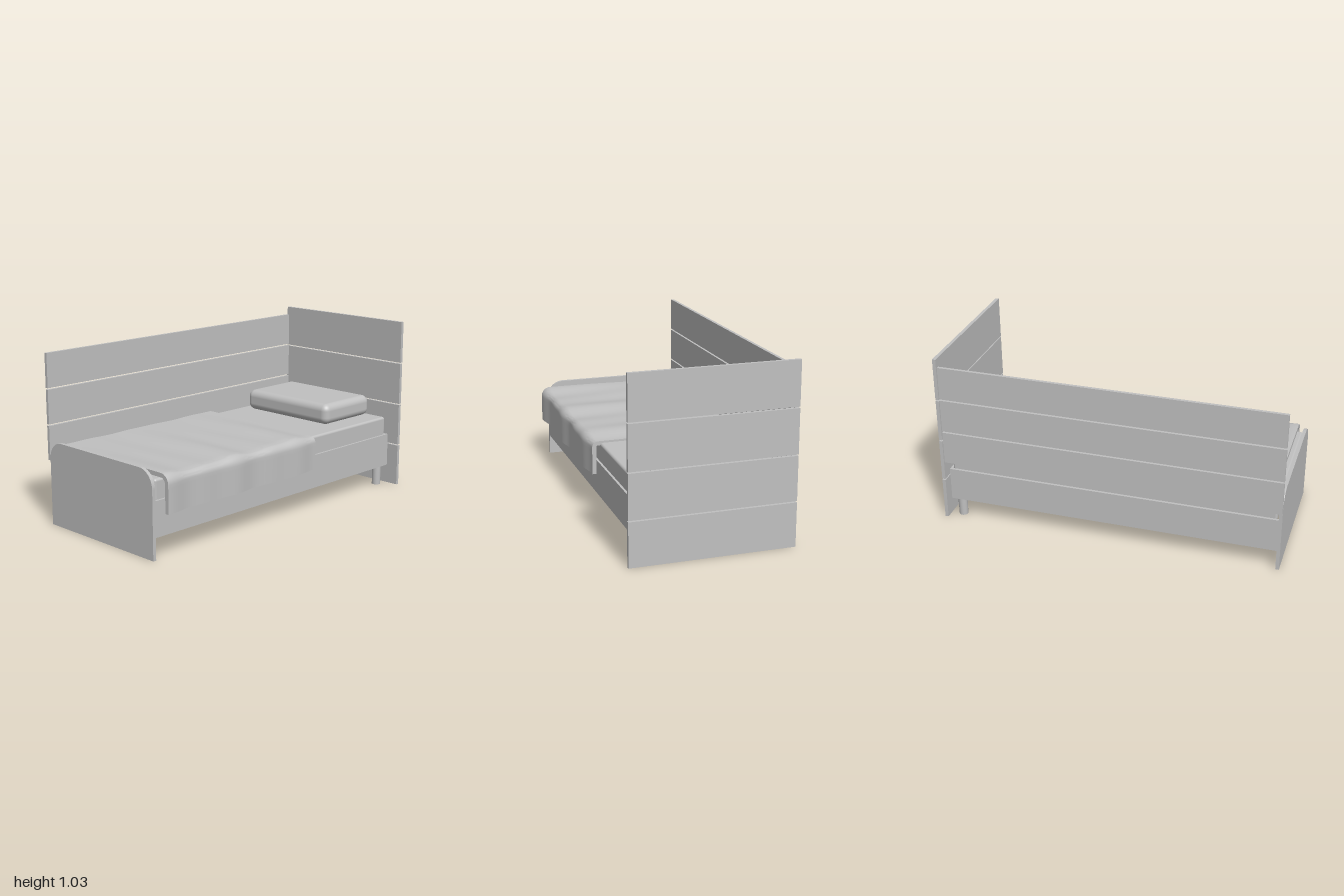
import * as THREE from 'three';
import { toCreasedNormals } from 'three/addons/utils/BufferGeometryUtils.js';
import { RoundedBoxGeometry } from 'three/addons/geometries/RoundedBoxGeometry.js';

const grey = new THREE.MeshStandardMaterial({ color: 0xc0c0c0 });
grey.name = 'light grey';

function add(parent, name, geometry) {
  const mesh = new THREE.Mesh(geometry, grey);
  mesh.name = name;
  parent.add(mesh);
  return mesh;
}

// Box given by its lower and upper limits, rounded when a radius is given
function block(parent, name, [x0, x1], [y0, y1], [z0, z1], radius = 0) {
  const size = [x1 - x0, y1 - y0, z1 - z0];
  const geometry = radius
    ? new RoundedBoxGeometry(...size, 5, radius)
    : new THREE.BoxGeometry(...size);
  const mesh = add(parent, name, geometry);
  mesh.position.set((x0 + x1) / 2, (y0 + y1) / 2, (z0 + z1) / 2);
  return mesh;
}

// Low end panel with rounded upper corners
function footboardGeometry() {
  const back = -0.45, front = 0.4, top = 0.485, r = 0.1;
  const shape = new THREE.Shape();
  shape.moveTo(back, 0);
  shape.lineTo(front, 0);
  shape.lineTo(front, top - r);
  shape.absarc(front - r, top - r, r, 0, Math.PI / 2, false);
  shape.lineTo(back + r, top);
  shape.absarc(back + r, top - r, r, Math.PI / 2, Math.PI, false);
  shape.closePath();
  const geometry = new THREE.ExtrudeGeometry(shape, { depth: 0.02, bevelEnabled: false, curveSegments: 10 });
  return geometry.rotateY(-Math.PI / 2).translate(-0.98, 0, 0);
}

// Blanket: rippled cross-sections that lie on the bed and hang over its front
function blanketGeometry() {
  const x0 = -0.94, x1 = 0.225, columns = 80, thick = 0.024;
  const profile = []; // z, y, outward normal z, outward normal y
  for (let k = 0; k <= 20; k++) profile.push([-0.43 + 0.83 * k / 20, 0.452, 0, 1]);
  for (let k = 1; k <= 8; k++) {
    const a = Math.PI / 2 * k / 8;
    profile.push([0.4 + 0.045 * Math.sin(a), 0.407 + 0.045 * Math.cos(a), Math.sin(a), Math.cos(a)]);
  }
  for (let k = 1; k <= 8; k++) profile.push([0.445, 0.407 - 0.157 * k / 8, 1, 0]);

  const n = profile.length, ring = 2 * n, positions = [], index = [];
  const ripple = (x, z) =>
    0.007 * Math.sin(13.6 * x + 1.8 * z + 0.9) + 0.004 * Math.sin(25 * x - 1.5 * z);
  for (let i = 0; i <= columns; i++) {
    const x = x0 + (x1 - x0) * i / columns;
    for (let j = 0; j < ring; j++) {
      const inner = j >= n;
      const [z, y, nz, ny] = profile[inner ? ring - 1 - j : j];
      const fade = THREE.MathUtils.smoothstep(z, -0.43, 0.2) * 0.8 + 0.2;
      const d = ripple(x, z) * fade - (inner ? thick : 0);
      positions.push(x, y + ny * d, z + nz * d);
    }
  }
  for (let i = 0; i < columns; i++) {
    for (let j = 0; j < ring; j++) {
      const a = i * ring + j, c = i * ring + (j + 1) % ring;
      index.push(a, c, a + ring, c, c + ring, a + ring);
    }
  }
  // side edges
  const last = columns * ring;
  for (let k = 0; k < n - 1; k++) {
    const a = k, b = k + 1, c = ring - 2 - k, d = ring - 1 - k;
    index.push(a, c, b, a, d, c);
    index.push(last + a, last + b, last + c, last + a, last + c, last + d);
  }
  const geometry = new THREE.BufferGeometry();
  geometry.setAttribute('position', new THREE.Float32BufferAttribute(positions, 3));
  geometry.setIndex(index);
  return toCreasedNormals(geometry, 0.9);
}

export function createModel() {
  const bed = new THREE.Group();
  bed.name = 'daybed';

  // tall end made of four boards
  const headboard = new THREE.Group();
  headboard.name = 'headboard';
  bed.add(headboard);
  for (let i = 0; i < 4; i++) {
    const y = i * 0.2585;
    block(headboard, 'headboardPlank', [0.979, 0.999], [y, y + 0.251], [-0.47, 0.46]);
  }

  // back made of three boards
  const backrest = new THREE.Group();
  backrest.name = 'backrest';
  bed.add(backrest);
  for (let i = 0; i < 3; i++) {
    const y = 0.372 + i * 0.205;
    block(backrest, 'backrestPlank', [-1, 0.974], [y, y + 0.196], [-0.47, -0.452]);
  }

  add(bed, 'footboard', footboardGeometry());

  // frame
  block(bed, 'frontRail', [-0.98, 0.955], [0.122, 0.32], [0.385, 0.4]);
  block(bed, 'backRail', [-0.98, 0.955], [0.122, 0.32], [-0.45, -0.435]);
  block(bed, 'headRail', [0.94, 0.955], [0.122, 0.32], [-0.435, 0.385]);

  // slats
  for (let i = 0; i < 13; i++) {
    const x = -0.89 + i * 0.145;
    block(bed, 'slat', [x - 0.045, x + 0.045], [0.285, 0.305], [-0.435, 0.385]);
  }

  // legs at the tall end
  for (const z of [-0.405, 0.355]) {
    const leg = add(bed, 'leg', new THREE.CylinderGeometry(0.029, 0.026, 0.285, 24));
    leg.position.set(0.908, 0.1425, z);
  }

  // bedding
  block(bed, 'mattress', [-0.97, 0.94], [0.305, 0.43], [-0.435, 0.387], 0.014);
  add(bed, 'blanket', blanketGeometry());
  block(bed, 'pillow', [0.475, 0.895], [0.438, 0.563], [-0.355, 0.3], 0.042);

  return bed;
}
